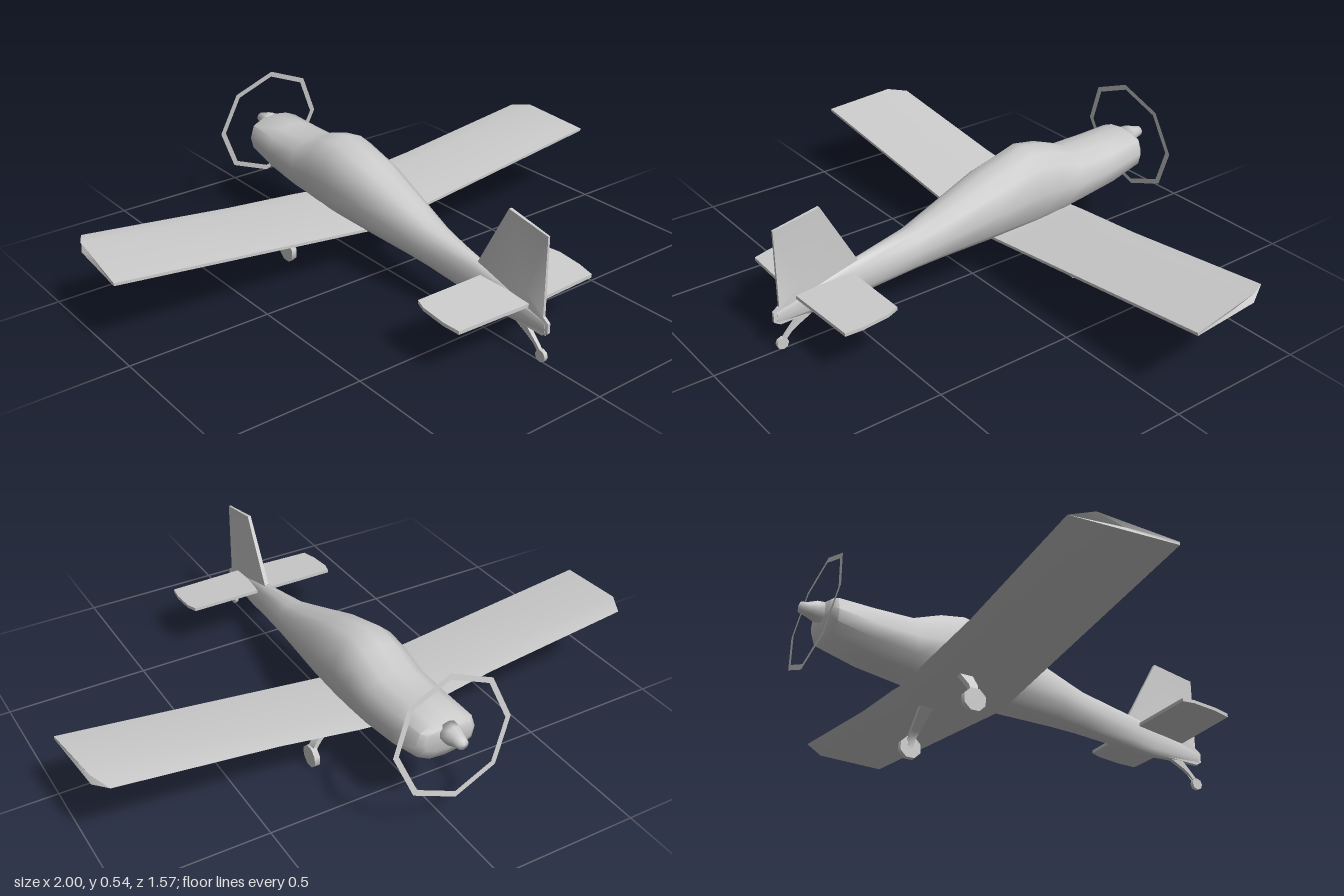
import * as THREE from 'three';
import { toCreasedNormals } from 'three/addons/utils/BufferGeometryUtils.js';

const material = new THREE.MeshStandardMaterial({ color: 0xcccccc });
const doubleSided = new THREE.MeshStandardMaterial({ color: 0xcccccc, side: THREE.DoubleSide });

// Skin a list of equally sized closed rings of [x, y, z] points and cap both ends
function loft(rings, crease) {
  const n = rings[0].length;
  const pos = rings.flat(2);
  const index = [];
  for (let i = 0; i < rings.length - 1; i++) {
    for (let j = 0; j < n; j++) {
      const a = i * n + j, b = i * n + (j + 1) % n;
      index.push(a, b, b + n, a, b + n, a + n);
    }
  }
  [0, rings.length - 1].forEach((r, end) => {
    const c = pos.length / 3;
    for (let k = 0; k < 3; k++) pos.push(rings[r].reduce((sum, p) => sum + p[k], 0) / n);
    for (let j = 0; j < n; j++) {
      const a = r * n + j, b = r * n + (j + 1) % n;
      if (end) index.push(a, b, c);
      else index.push(b, a, c);
    }
  });

  // Turn the faces outward if the rings ran the other way
  let volume = 0;
  const at = (i) => new THREE.Vector3().fromArray(pos, i * 3);
  for (let i = 0; i < index.length; i += 3) {
    volume += at(index[i]).dot(at(index[i + 1]).cross(at(index[i + 2])));
  }
  if (volume < 0) index.reverse();

  const g = new THREE.BufferGeometry();
  g.setAttribute('position', new THREE.Float32BufferAttribute(pos, 3));
  g.setIndex(index);
  return toCreasedNormals(g, crease);
}

function add(parent, name, geometry, mat = material) {
  const mesh = new THREE.Mesh(geometry, mat);
  mesh.name = name;
  parent.add(mesh);
  return mesh;
}

// Fuselage: one rounded section scaled at stations [z, bottom, top, half width]
function fuselage() {
  const stations = [
    [-0.705, 0.28, 0.365, 0.085], [-0.685, 0.24, 0.38, 0.108], [-0.56, 0.2, 0.381, 0.113],
    [-0.41, 0.175, 0.383, 0.117], [-0.31, 0.155, 0.423, 0.117], [-0.22, 0.143, 0.44, 0.115],
    [-0.06, 0.145, 0.395, 0.106], [0.16, 0.137, 0.312, 0.075], [0.26, 0.13, 0.276, 0.06],
    [0.47, 0.105, 0.237, 0.031], [0.57, 0.096, 0.212, 0.021], [0.77, 0.103, 0.155, 0.007],
  ];
  const half = [[0, 1], [0.48, 0.95], [0.86, 0.82], [1, 0.5], [0.92, 0.22], [0.5, 0.04], [0, 0]];
  const section = [...half, ...half.slice(1, -1).reverse().map(([x, t]) => [-x, t])];
  return loft(stations.map(([z, lo, hi, w]) =>
    section.map(([x, t]) => [x * w, lo + (hi - lo) * t, z])), 1.0);
}

// Wing: five-point aerofoil with dihedral, root fillet and clipped tips
function wing() {
  const tipX = [0.945, 0.98, 1, 1, 0.98];
  const foil = [[-0.38, 0.012], [-0.31, 0.021], [-0.05, -0.008], [-0.05, -0.018], [-0.31, -0.014]];
  const rings = [-1, -0.4, -0.12, 0, 0.12, 0.4, 1].map((s) =>
    foil.map(([z, dy], i) => {
      const x = Math.abs(s) === 1 ? s * tipX[i] : s;
      const fillet = i === 0 && Math.abs(s) < 0.2 ? 0.015 : 0;
      return [x, 0.16 + 0.12 * Math.abs(x) + dy, z - fillet];
    }));
  return loft(rings, 0.5);
}

// Tailplane: thin plate with a slight nose-up angle and clipped tips
function tailplane() {
  const outline = [[-0.278, 0.5], [0.278, 0.5], [0.29, 0.54], [0.29, 0.63], [0.28, 0.69],
    [0, 0.7], [-0.28, 0.69], [-0.29, 0.63], [-0.29, 0.54]];
  const y = (z) => 0.199 - 0.1 * (z - 0.5);
  return loft([-0.006, 0.006].map((d) => outline.map(([x, z]) => [x, y(z) + d, z])), 0.5);
}

// Fin and rudder: side outline [z, y, half thickness]
function fin() {
  const outline = [[0.76, 0.435, 0.004], [0.595, 0.465, 0.006], [0.47, 0.236, 0.008],
    [0.55, 0.11, 0.012], [0.76, 0.102, 0.007], [0.782, 0.115, 0.005], [0.782, 0.15, 0.005],
    [0.76, 0.165, 0.005]];
  return loft([-1, 1].map((s) => outline.map(([z, y, t]) => [s * t, y, z])), 0.5);
}

// Main leg and wheel on one side (s = 1 or -1)
function mainGear(s) {
  const gear = new THREE.Group();
  gear.name = s > 0 ? 'leftMainGear' : 'rightMainGear';
  const path = [[0.135, 0.17, -0.26, 0.024], [0.205, 0.1, -0.268, 0.016],
    [0.224, 0.075, -0.274, 0.014], [0.226, 0.045, -0.275, 0.008]];
  add(gear, 'leg', loft(path.map(([x, y, z, w]) => [
    [s * (x - 0.007), y - 0.004, z - w], [s * (x + 0.007), y + 0.004, z - w],
    [s * (x + 0.007), y + 0.004, z + w], [s * (x - 0.007), y - 0.004, z + w],
  ]), 0.6));
  const tyre = new THREE.CylinderGeometry(0.04, 0.04, 0.02, 8);
  tyre.rotateY(Math.PI / 8).rotateZ(Math.PI / 2);
  add(gear, 'wheel', toCreasedNormals(tyre, 0.9)).position.set(s * 0.229, 0.043, -0.275);
  return gear;
}

// Tail wheel on a tapered spring
function tailGear() {
  const gear = new THREE.Group();
  gear.name = 'tailGear';
  const spring = [[0.63, 0.112, 0.008], [0.69, 0.112, 0.008], [0.745, 0.058, 0.006],
    [0.765, 0.035, 0.005], [0.75, 0.032, 0.005], [0.74, 0.05, 0.006], [0.7, 0.076, 0.007]];
  add(gear, 'spring', loft([-1, 1].map((s) => spring.map(([z, y, t]) => [s * t, y, z])), 0.5));
  const tyre = new THREE.CylinderGeometry(0.021, 0.021, 0.014, 8);
  tyre.rotateZ(Math.PI / 2);
  add(gear, 'wheel', toCreasedNormals(tyre, 0.9)).position.set(0, 0.028, 0.758);
  return gear;
}

export function createModel() {
  const plane = new THREE.Group();
  plane.name = 'lightAircraft';
  add(plane, 'fuselage', fuselage());
  add(plane, 'wing', wing());
  add(plane, 'tailplane', tailplane());
  add(plane, 'fin', fin());
  plane.add(mainGear(1), mainGear(-1), tailGear());

  // Spinner, turned about the nose axis
  const profile = [[0, 0], [0.036, 0], [0.034, 0.03], [0.024, 0.055], [0.018, 0.08], [0, 0.086]];
  const spinner = new THREE.LatheGeometry(profile.map(([r, h]) => new THREE.Vector2(r, h)), 10);
  spinner.rotateX(-Math.PI / 2);
  add(plane, 'spinner', spinner).position.set(0, 0.34, -0.697);

  // Eight-sided propeller sweep ring, tilted with the thrust line
  const ring = new THREE.RingGeometry(0.191, 0.211, 8, 1, Math.PI / 2);
  const sweep = add(plane, 'propellerRing', ring, doubleSided);
  sweep.position.set(0, 0.336, -0.725);
  sweep.rotation.x = 0.15;
  return plane;
}
